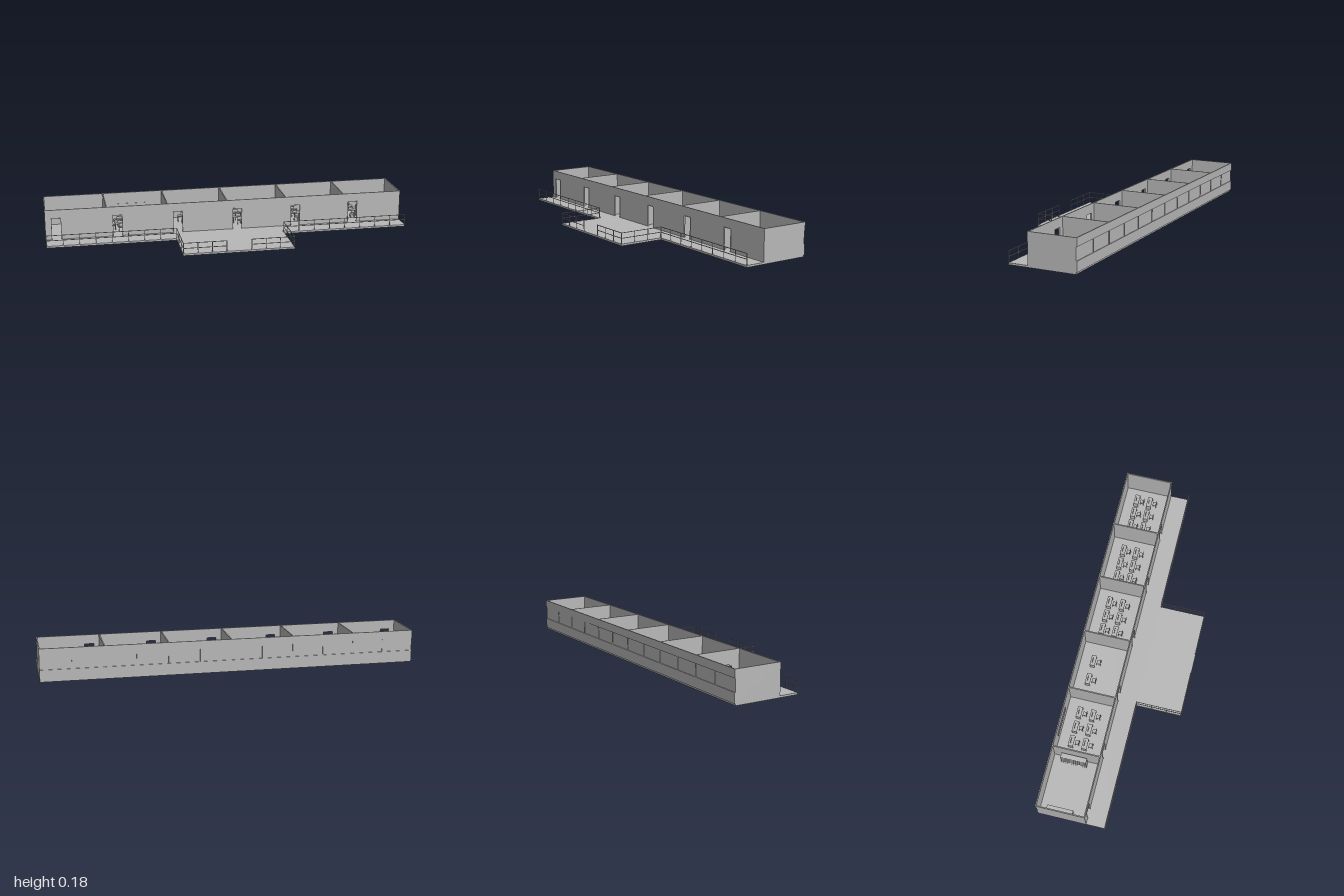
import * as THREE from 'three';

export function createModel() {
  const model = new THREE.Group();
  const grey = new THREE.MeshStandardMaterial({ color: 0xb8b8b8 });
  grey.name = 'light grey';

  // Box from its minimum and maximum corners
  const box = (name, x0, x1, y0, y1, z0, z1, parent = model) => {
    const m = new THREE.Mesh(new THREE.BoxGeometry(x1 - x0, y1 - y0, z1 - z0), grey);
    m.position.set((x0 + x1) / 2, (y0 + y1) / 2, (z0 + z1) / 2);
    m.name = name;
    parent.add(m);
    return m;
  };
  const group = (name, x = 0, y = 0, z = 0) => {
    const g = new THREE.Group();
    g.name = name;
    g.position.set(x, y, z);
    model.add(g);
    return g;
  };

  const F = 0.01, TOP = 0.177, T = 0.006, ROOM = 1 / 3;
  const FRONT = -0.046, BACK = -0.311;

  // Floor slab and terrace
  box('floorSlab', -1, 1, 0, F, -0.305, 0.06);
  box('terrace', -0.3, 0.3, 0, F, 0.06, 0.31);

  // Front wall with a doorway for each room
  const wall = new THREE.Shape();
  wall.moveTo(-1, F);
  const doors = [];
  for (let i = 0; i < 6; i++) {
    const x0 = -0.968 + i * ROOM * 0.997, x1 = x0 + 0.056;
    doors.push([x0, x1]);
    wall.lineTo(x0, F).lineTo(x0, 0.13).lineTo(x1, 0.13).lineTo(x1, F);
  }
  wall.lineTo(1, F).lineTo(1, TOP).lineTo(-1, TOP);
  const frontWall = new THREE.Mesh(
    new THREE.ExtrudeGeometry(wall, { depth: T, bevelEnabled: false }), grey);
  frontWall.position.z = FRONT - T;
  frontWall.name = 'frontWall';
  model.add(frontWall);

  // Slim door frames
  for (const [x0, x1] of doors) {
    const g = group('doorFrame');
    box('jamb', x0, x0 + 0.003, F, 0.13, FRONT - T, FRONT + 0.002, g);
    box('jamb', x1 - 0.003, x1, F, 0.13, FRONT - T, FRONT + 0.002, g);
    box('lintel', x0, x1, 0.127, 0.13, FRONT - T, FRONT + 0.002, g);
  }

  // Back wall with a recessed window band
  box('backWallLower', -1, 1, F, 0.065, BACK, BACK + T);
  box('backWallUpper', -1, 1, 0.133, TOP, BACK, BACK + T);
  box('windowBand', -1, 1, 0.065, 0.133, BACK + 0.004, BACK + T);
  for (let i = 1; i < 12; i++) {
    const x = -1 + i / 6;
    box('mullion', x - 0.002, x + 0.002, 0.065, 0.133, BACK + 0.001, BACK + 0.005);
  }

  // End walls and partitions
  for (let i = 0; i <= 6; i++) {
    const x = Math.min(1 - T / 2, Math.max(-1 + T / 2, -1 + i * ROOM));
    box(i % 6 ? 'partition' : 'endWall', x - T / 2, x + T / 2, F, TOP, BACK + T, FRONT - T);
  }

  // Railing along x or z between two points
  function railing(ax, az, bx, bz, segments) {
    const g = group('railing'), r = 0.0015;
    for (const y of [0.04, 0.0685]) {
      box('rail', Math.min(ax, bx) - r, Math.max(ax, bx) + r, y - r, y + r,
        Math.min(az, bz) - r, Math.max(az, bz) + r, g);
    }
    for (let i = 0; i <= segments; i++) {
      const x = ax + (bx - ax) * i / segments, z = az + (bz - az) * i / segments;
      box('post', x - r, x + r, F, 0.07, z - r, z + r, g);
    }
  }
  for (const s of [-1, 1]) {
    railing(s * 0.998, 0.058, s * 0.298, 0.058, 8);
    railing(s * 0.298, 0.06, s * 0.298, 0.308, 3);
    railing(s * 0.298, 0.308, s * 0.067, 0.308, 3);
  }

  // Desk with a screen, and the chair in front of it
  function workplace(x, z) {
    const d = group('desk', x, F, z);
    box('deskTop', -0.03, 0.03, 0.033, 0.036, -0.014, 0.014, d);
    for (const s of [-1, 1]) {
      box('deskSide', s * 0.028 - 0.0015, s * 0.028 + 0.0015, 0, 0.033, -0.013, 0.013, d);
    }
    box('screen', -0.014, 0.014, 0.036, 0.05, -0.004, -0.002, d);
    const c = group('chair', x, F, z + 0.031);
    box('seat', -0.011, 0.011, 0.02, 0.023, -0.011, 0.011, c);
    box('backrest', -0.011, 0.011, 0.03, 0.046, 0.009, 0.011, c);
    for (const sx of [-1, 1]) {
      box('backLeg', sx * 0.01 - 0.001, sx * 0.01 + 0.001, 0, 0.03, 0.009, 0.011, c);
      box('frontLeg', sx * 0.01 - 0.001, sx * 0.01 + 0.001, 0, 0.02, -0.011, -0.009, c);
    }
  }
  for (const centre of [-0.502, 0.166, 0.498, 0.83]) {
    for (const dx of [-0.083, 0, 0.083]) {
      for (const z of [-0.232, -0.157]) workplace(centre + dx, z);
    }
  }
  workplace(-0.222, -0.232);
  workplace(-0.113, -0.232);

  // Shelves at both ends of the store room
  for (const x of [-0.977, -0.69]) {
    const g = group('shelf', x, F, -0.19);
    for (let i = 0; i < 5; i++) {
      box('board', -0.014, 0.014, i * 0.023, i * 0.023 + 0.002, -0.07, 0.07, g);
    }
    for (const s of [-1, 1]) {
      box('shelfSide', -0.014, 0.014, 0, 0.094, s * 0.069 - 0.001, s * 0.069 + 0.001, g);
    }
  }

  // Wall board in the second room
  box('wallBoard', -0.585, -0.43, 0.07, 0.112, BACK + T, BACK + T + 0.002);

  return model;
}
